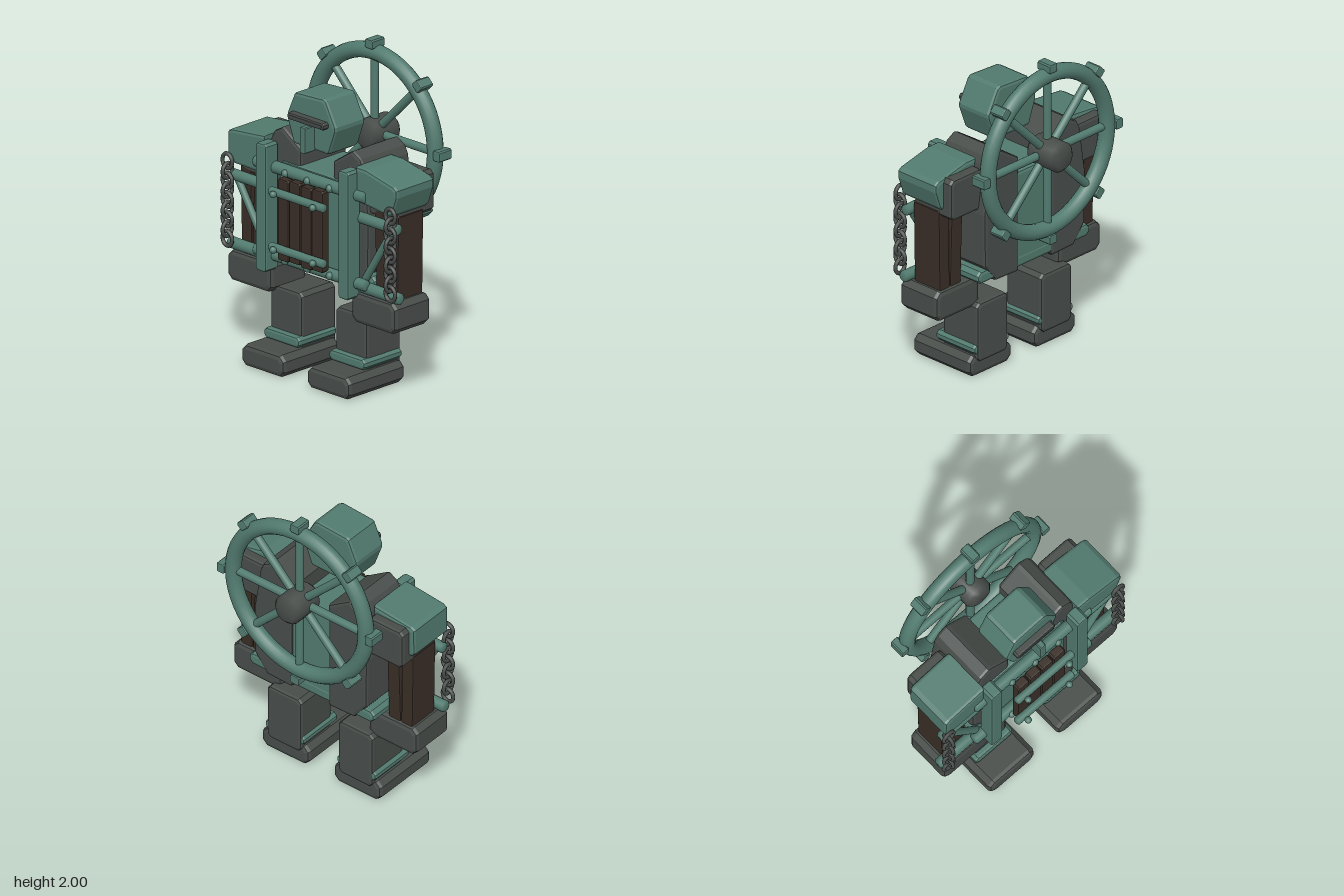
import * as THREE from 'three';

const paint = (name, color) => Object.assign(new THREE.MeshStandardMaterial({ color }), { name });

export function createModel() {
  const green = paint('verdigris green', 0x527b6f);
  const iron = paint('dark iron', 0x484d4a);
  const wood = paint('dark wood', 0x3a2e27);
  const model = new THREE.Group();
  model.name = 'wheelbackGolem';

  const add = (name, geometry, material, parent = model) => {
    const mesh = new THREE.Mesh(geometry, material);
    mesh.name = name;
    parent.add(mesh);
    return mesh;
  };

  // Bevelled slab: an outline in x/y extruded from z0 to z1
  const slab = (name, points, z0, z1, material, bevel = 0.02, parent = model) => {
    const shape = new THREE.Shape(points.map(([x, y]) => new THREE.Vector2(x, y)));
    const geometry = new THREE.ExtrudeGeometry(shape, {
      depth: z1 - z0 - 2 * bevel, bevelThickness: bevel, bevelSize: bevel,
      bevelOffset: -bevel, bevelSegments: 2,
    });
    geometry.translate(0, 0, z0 + bevel);
    return add(name, geometry, material, parent);
  };

  // Box with cut corners, given by its limits
  const block = (name, x0, x1, y0, y1, z0, z1, material, c = 0.025, parent = model) =>
    slab(name, [[x0 + c, y0], [x1 - c, y0], [x1, y0 + c], [x1, y1 - c],
      [x1 - c, y1], [x0 + c, y1], [x0, y1 - c], [x0, y0 + c]], z0, z1, material, c * 0.8, parent);

  // Round bar with softened ends between two points
  const bar = (name, a, b, r, material, parent = model) => {
    const from = new THREE.Vector3(...a), to = new THREE.Vector3(...b);
    const h = from.distanceTo(to) / 2, e = r * 0.3;
    const profile = [[0, -h], [r - e, -h], [r, e - h], [r, h - e], [r - e, h], [0, h]];
    const geometry = new THREE.LatheGeometry(profile.map(([x, y]) => new THREE.Vector2(x, y)), 16);
    const mesh = add(name, geometry, material, parent);
    mesh.position.copy(from).lerp(to, 0.5);
    mesh.quaternion.setFromUnitVectors(new THREE.Vector3(0, 1, 0), to.sub(from).normalize());
    return mesh;
  };

  const stud = (name, x, y, z, r = 0.025) =>
    add(name, new THREE.SphereGeometry(r, 12, 8), green).position.set(x, y, z);

  // Spoked wheel on the back
  const wheel = new THREE.Group();
  wheel.name = 'backWheel';
  wheel.position.set(0, 1.41, -0.283);
  model.add(wheel);
  add('wheelRim', new THREE.TorusGeometry(0.505, 0.05, 14, 64), green, wheel);
  bar('wheelHub', [0, 0, -0.142], [0, 0, 0.1], 0.096, iron, wheel);
  for (let i = 0; i < 8; i++) {
    const arm = new THREE.Group();
    arm.name = 'wheelSpokeGroup';
    arm.rotation.z = i * Math.PI / 4;
    wheel.add(arm);
    bar('wheelSpoke', [0, 0.06, 0], [0, 0.49, 0], 0.026, green, arm);
    block('wheelLug', -0.033, 0.033, 0.535, 0.592, -0.052, 0.052, green, 0.008, arm);
  }

  // Head with visor slit and nose guard
  slab('head', [[-0.14, 1.755], [-0.12, 1.765], [0.1, 1.778], [0.125, 1.765], [0.203, 1.62], [0.203, 1.595],
    [0.15, 1.45], [0.135, 1.437], [-0.135, 1.437], [-0.15, 1.45], [-0.2, 1.59], [-0.2, 1.62]],
  0, 0.257, green);
  block('visorSlit', -0.152, 0.152, 1.602, 1.646, 0.25, 0.3, iron, 0.012);
  block('visorGroove', -0.135, 0.135, 1.616, 1.632, 0.295, 0.304, iron, 0.003);
  block('noseGuard', -0.006, 0.036, 1.437, 1.6, 0.25, 0.34, green, 0.006);

  // Torso core and hip slab
  block('torsoCore', -0.3, 0.3, 0.66, 1.285, -0.175, 0.22, green);
  block('hipSlab', -0.475, 0.475, 0.655, 0.735, -0.178, 0.2, green);

  // Chest rails, planks and studs
  bar('upperChestBar', [-0.465, 1.25, 0.25], [0.465, 1.25, 0.25], 0.037, green);
  bar('lowerChestBar', [-0.465, 0.695, 0.25], [0.465, 0.695, 0.25], 0.035, green);
  for (let i = 0; i < 4; i++) {
    const x = -0.143 + i * 0.0955;
    block('chestPlank', x - 0.045, x + 0.045, 0.718 + (i % 2) * 0.008, 1.232 + (i % 2) * 0.006,
      0.29, 0.345, wood, 0.01);
  }
  for (const y of [0.8, 1.15]) {
    bar('plankRail', [-0.228, y, 0.365], [0.228, y, 0.365], 0.026, green);
    for (const x of [-0.165, 0.165]) {
      bar('plankBolt', [x, y, 0.37], [x, y, 0.41], 0.012, green);
      stud('plankBoltHead', x, y, 0.404, 0.022);
    }
  }
  for (const y of [0.695, 1.245]) for (const x of [-0.185, 0, 0.185]) stud('barStud', x, y, 0.28);

  // Outlines of the two uneven shoulder plates
  const shoulders = {
    1: [[0.375, 1.425], [0.46, 1.425], [0.69, 1.375], [0.718, 1.355], [0.718, 1.31], [0.68, 1.2], [0.66, 1.18],
      [0.375, 1.21]],
    '-1': [[-0.38, 1.425], [-0.66, 1.397], [-0.69, 1.38], [-0.692, 1.21], [-0.67, 1.185], [-0.38, 1.18]],
  };

  for (const s of [1, -1]) {
    const box = (name, x0, x1, ...rest) => block(name, Math.min(s * x0, s * x1), Math.max(s * x0, s * x1), ...rest);

    // Heavy side plates of the body
    slab('bodyPlate', [[0.135, 1.385], [0.27, 1.475], [0.295, 1.487], [0.36, 1.45], [0.385, 1.4], [0.43, 1.1],
      [0.425, 0.76], [0.33, 0.64], [0.15, 0.635], [0.135, 0.65]].map(([x, y]) => [s * x, y]),
    -0.185, 0.205, iron);
    box('frontPost', 0.3, 0.387, 0.6, 1.405, 0.225, 0.33, green, 0.015);

    // Arm: shoulder plate, upper block, planks and fist
    slab('shoulderPlate', shoulders[s], -0.063, 0.26, green);
    box('upperArm', 0.385, 0.655, 1.12, 1.385, -0.128, 0.18, iron);
    [[0.51, 0.09], [0.613, 0.085]].forEach(([x, w], i) => {
      const plank = box('armPlank', -w / 2, w / 2, -0.27, 0.27, -0.105, 0.105, wood, 0.01);
      plank.position.set(s * x, 0.895, 0.075);
      plank.rotation.z = s * (i ? -0.015 : 0.03);
    });
    box('fist', 0.335, 0.7, 0.44, 0.635, -0.052, 0.255, iron, 0.035);

    // Arm frame
    bar('armTopRail', [s * 0.36, 1.097, 0.215], [s * 0.7, 1.097, 0.215], 0.034, green);
    bar('armBottomRail', [s * 0.36, 0.665, 0.215], [s * 0.715, 0.665, 0.215], 0.036, green);
    bar('armBrace', [s * 0.645, 1.08, 0.215], [s * 0.4, 0.69, 0.215], 0.023, green);

    // Hanging chain with links turned in alternation
    for (let i = 0; i < 9; i++) {
      const link = add('chainLink', new THREE.TorusGeometry(0.04, 0.012, 8, 18), iron);
      link.position.set(s * 0.68, 1.195 - i * 0.061, 0.27);
      link.scale.y = 1.15;
      link.rotation.y = i % 2 ? Math.PI / 2 : 0;
    }

    // Leg, ankle band and foot
    box('leg', 0.14, 0.402, 0.09, 0.475, -0.1, 0.19, iron);
    box('ankleBand', 0.125, 0.42, 0.142, 0.207, -0.093, 0.23, green, 0.02);
    box('foot', 0.095, 0.452, 0, 0.137, -0.087, 0.39, iron, 0.035);
  }
  return model;
}
